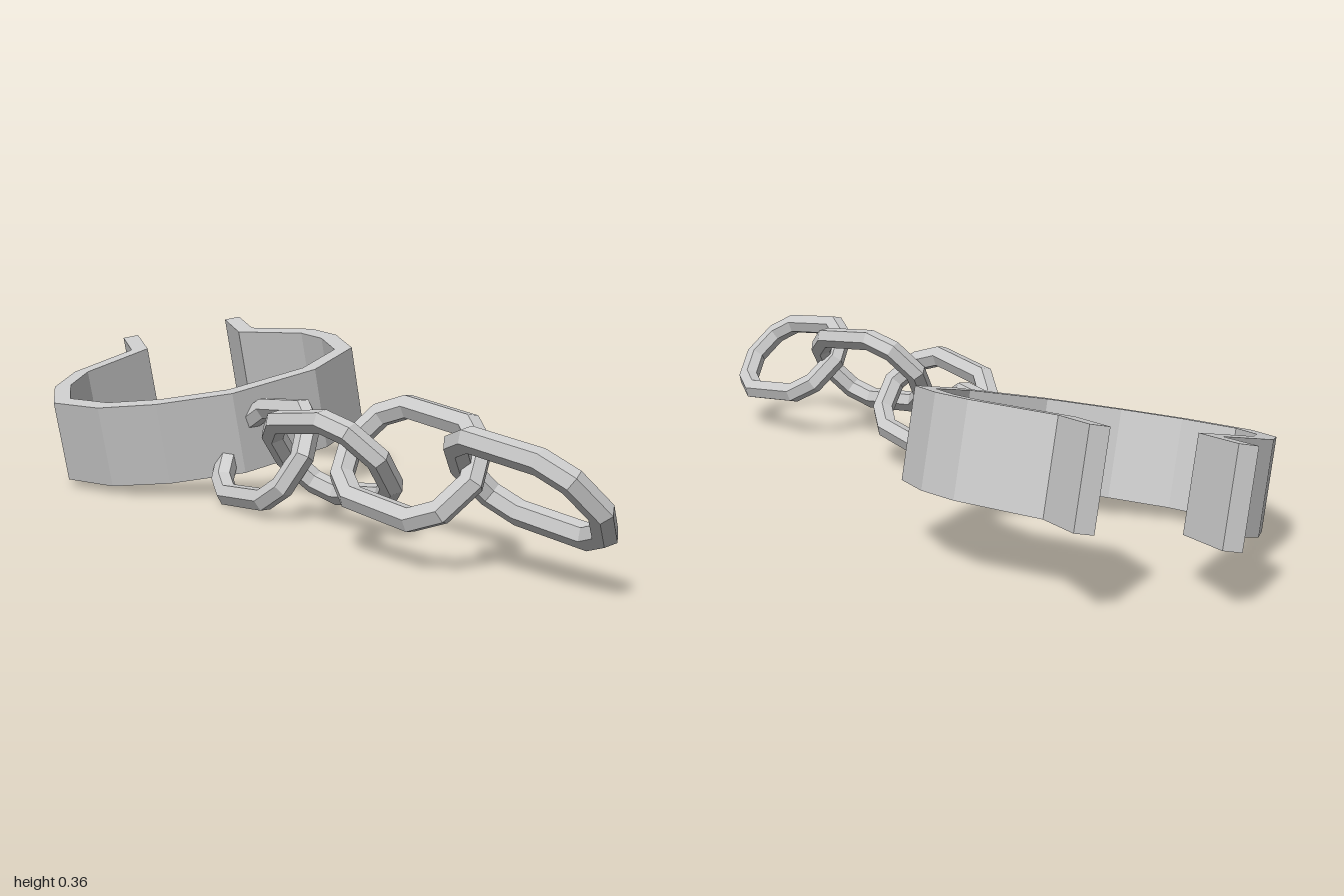
import * as THREE from 'three';

const steel = new THREE.MeshStandardMaterial({ color: 0xcccccc, flatShading: true });
const V2 = (x, y) => new THREE.Vector2(x, y);

// Mitre vector at each point of a 2D path, pointing to the right of travel
function mitres(pts, closed) {
  const n = pts.length;
  const side = (a, b) => { const d = b.clone().sub(a).normalize(); return V2(d.y, -d.x); };
  return pts.map((p, i) => {
    const first = !closed && i === 0, last = !closed && i === n - 1;
    const next = last ? null : side(p, pts[(i + 1) % n]);
    const prev = first ? next : side(pts[(i + n - 1) % n], p);
    const m = prev.clone().add(next ?? prev).normalize();
    return m.divideScalar(m.dot(prev));
  });
}

// Open cuff band: outer path as [x, z], thickened inwards and extruded upwards
function makeCuff() {
  const height = 0.196, thickness = 0.04, midZ = -0.6;
  const outer = [
    [0.08, -0.997], [0.015, -0.857], [-0.18, -0.825], [-0.284, -0.75], [-0.364, -0.62],
    [-0.335, -0.466], [-0.25, -0.345], [-0.11, -0.233], [0.11, -0.197], [0.278, -0.26],
    [0.343, -0.4], [0.357, -0.513], [0.298, -0.7], [0.36, -0.842],
  ].map(([x, z]) => V2(x, midZ - z));
  const m = mitres(outer, false);
  const inner = outer.map((p, i) => p.clone().addScaledVector(m[i], -thickness));
  const shape = new THREE.Shape([...outer, ...inner.reverse()]);
  const geo = new THREE.ExtrudeGeometry(shape, { depth: height, bevelEnabled: false });
  geo.translate(0, 0, -height / 2).rotateX(-Math.PI / 2);
  const cuff = new THREE.Mesh(geo, steel);
  cuff.name = 'cuff';
  cuff.position.set(0, 0.19, midZ);
  cuff.rotation.set(0.025, 0, 0.205);
  return cuff;
}

// Long faceted ring with a six-sided bar section
function linkGeometry() {
  const quarter = [[0.11, 0.09], [0.075, 0.148], [0, 0.178]];
  const half = [...quarter, [-0.075, 0.148], [-0.11, 0.09]];
  const loop = [...half, ...half.map(([x, y]) => [-x, -y])].map(([x, y]) => V2(x, y));
  const out = mitres(loop, true);
  const n = loop.length, sides = 6, r = 0.026;
  const pos = [], idx = [];
  for (let i = 0; i < n; i++) {
    for (let j = 0; j < sides; j++) {
      const t = (j / sides) * Math.PI * 2;
      const p = loop[i].clone().addScaledVector(out[i], r * Math.cos(t));
      pos.push(p.x, p.y, r * Math.sin(t));
      const k = (i + 1) % n, l = (j + 1) % sides;
      const a = i * sides + j, b = k * sides + j, c = k * sides + l, d = i * sides + l;
      idx.push(a, b, c, a, c, d);
    }
  }
  const geo = new THREE.BufferGeometry();
  geo.setAttribute('position', new THREE.Float32BufferAttribute(pos, 3));
  geo.setIndex(idx);
  geo.computeVertexNormals();
  return geo;
}

// Chain: each link has a centre, a long direction and a roll in degrees
function makeChain() {
  const chain = new THREE.Group();
  chain.name = 'chain';
  const geo = linkGeometry();
  const links = [
    { at: [-0.13, 0.132, -0.105], dir: [-0.16, 0.1, 1], roll: 60 },
    { at: [-0.183, 0.165, 0.2], dir: [-0.1, 0.13, 1], roll: -50 },
    { at: [-0.212, 0.2, 0.483], dir: [0, -0.1, 1], roll: 52 },
    { at: [-0.194, 0.19, 0.796], dir: [0.01, -0.1, 1], roll: -47 },
  ];
  links.forEach(({ at, dir, roll }, i) => {
    const d = new THREE.Vector3(...dir).normalize();
    const a = THREE.MathUtils.degToRad(roll);
    const w = new THREE.Vector3(Math.cos(a), Math.sin(a), 0);
    w.addScaledVector(d, -w.dot(d)).normalize();
    const link = new THREE.Mesh(geo, steel);
    link.name = `chainLink${i + 1}`;
    link.quaternion.setFromRotationMatrix(
      new THREE.Matrix4().makeBasis(w, d, w.clone().cross(d)));
    link.position.set(...at);
    chain.add(link);
  });
  return chain;
}

export function createModel() {
  const model = new THREE.Group();
  model.name = 'shackle';
  model.add(makeCuff(), makeChain());
  return model;
}
